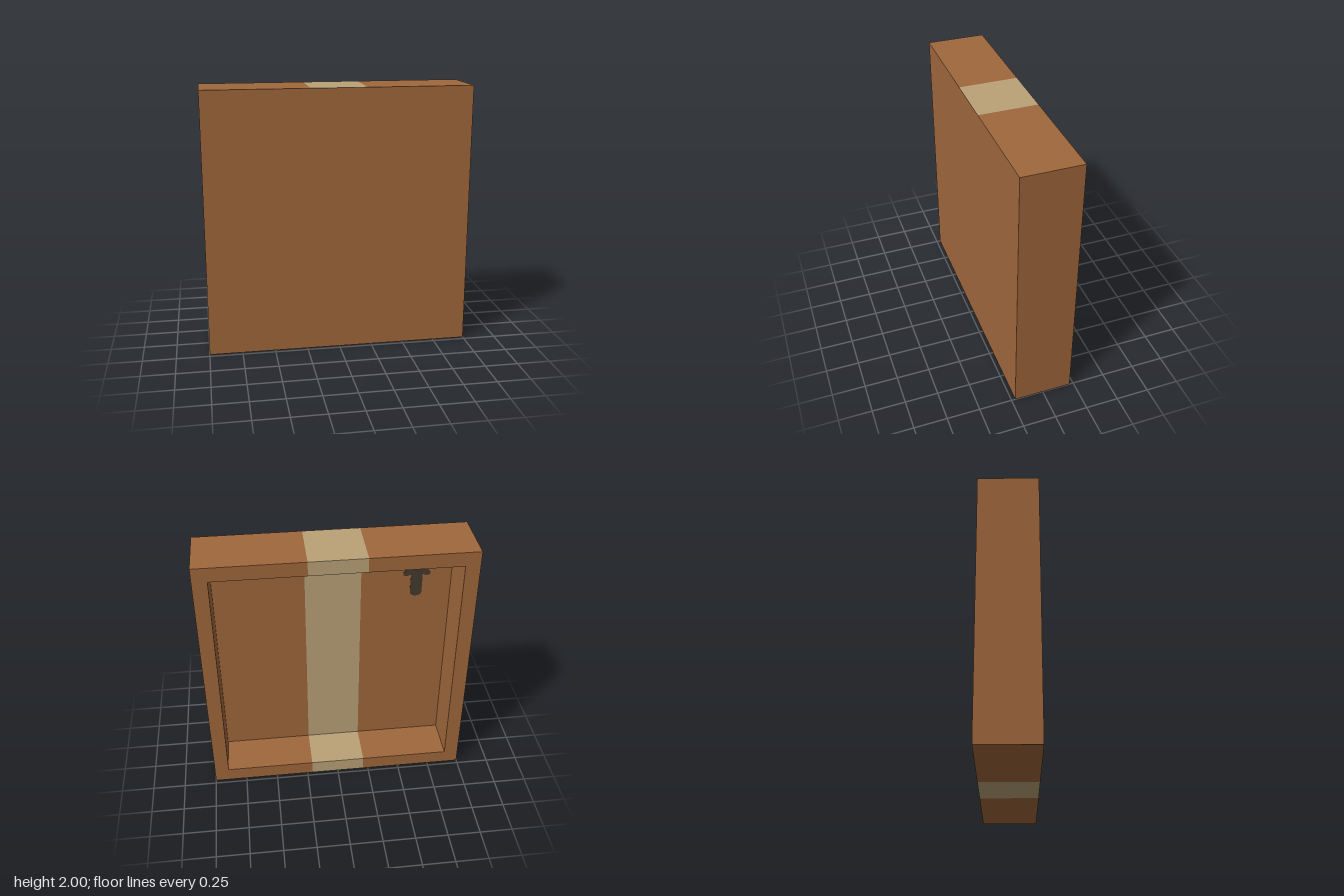
import * as THREE from 'three';

const wood = new THREE.MeshStandardMaterial({ color: 0xa0673c });
wood.name = 'brown cardboard';
const tape = new THREE.MeshStandardMaterial({ color: 0xbba277 });
tape.name = 'tan tape';
const ink = new THREE.MeshStandardMaterial({ color: 0x45392e });
ink.name = 'dark ink';

const D = 0.22;  // half depth
const T = 0.11;  // wall thickness
const TAPE = 0.21; // half width of the tape strip

// Box given by its limits on each axis
function slab(name, [x0, x1], [y0, y1], [z0, z1], material) {
  const mesh = new THREE.Mesh(new THREE.BoxGeometry(x1 - x0, y1 - y0, z1 - z0), material);
  mesh.position.set((x0 + x1) / 2, (y0 + y1) / 2, (z0 + z1) / 2);
  mesh.name = name;
  return mesh;
}

// One stretch across the width: top wall, bottom wall and front panel
function section(name, xs, material) {
  const group = new THREE.Group();
  group.name = name;
  group.add(
    slab('topWall', xs, [2 - T, 2], [-D, D], material),
    slab('bottomWall', xs, [0, T], [-D, D], material),
    slab('frontPanel', xs, [T, 2 - T], [D - T, D], material),
  );
  return group;
}

// Up arrow with blunt, rounded ends, printed on the inside of the panel
function arrowMark() {
  const s = new THREE.Shape();
  s.moveTo(-0.044, 0.035);
  s.quadraticCurveTo(-0.044, 0, 0, 0);
  s.quadraticCurveTo(0.044, 0, 0.044, 0.035);
  s.lineTo(0.044, 0.185);
  s.lineTo(0.075, 0.175);
  s.quadraticCurveTo(0.11, 0.175, 0.1, 0.205);
  s.lineTo(0.045, 0.27);
  s.quadraticCurveTo(0, 0.315, -0.045, 0.27);
  s.lineTo(-0.1, 0.205);
  s.quadraticCurveTo(-0.11, 0.175, -0.075, 0.175);
  s.lineTo(-0.044, 0.185);
  s.closePath();
  const geometry = new THREE.ExtrudeGeometry(s, { depth: 0.004, bevelEnabled: false, curveSegments: 6 });
  const mesh = new THREE.Mesh(geometry, ink);
  mesh.position.set(-0.627, 1.462, D - T - 0.004);
  mesh.name = 'arrowMark';
  return mesh;
}

export function createModel() {
  const model = new THREE.Group();
  model.name = 'openBox';

  // Side walls and the plain stretches beside the tape
  for (const [side, s] of [['left', 1], ['right', -1]]) {
    const span = (a, b) => (s > 0 ? [a, b] : [-b, -a]);
    model.add(slab(side + 'Wall', span(1 - T, 1), [0, 2], [-D, D], wood));
    model.add(section(side + 'Section', span(TAPE, 1 - T), wood));
  }

  // Taped middle: every face is tape except the plain front
  model.add(section('tapedSection', [-TAPE, TAPE], [tape, tape, tape, tape, wood, tape]));

  model.add(arrowMark());
  return model;
}
